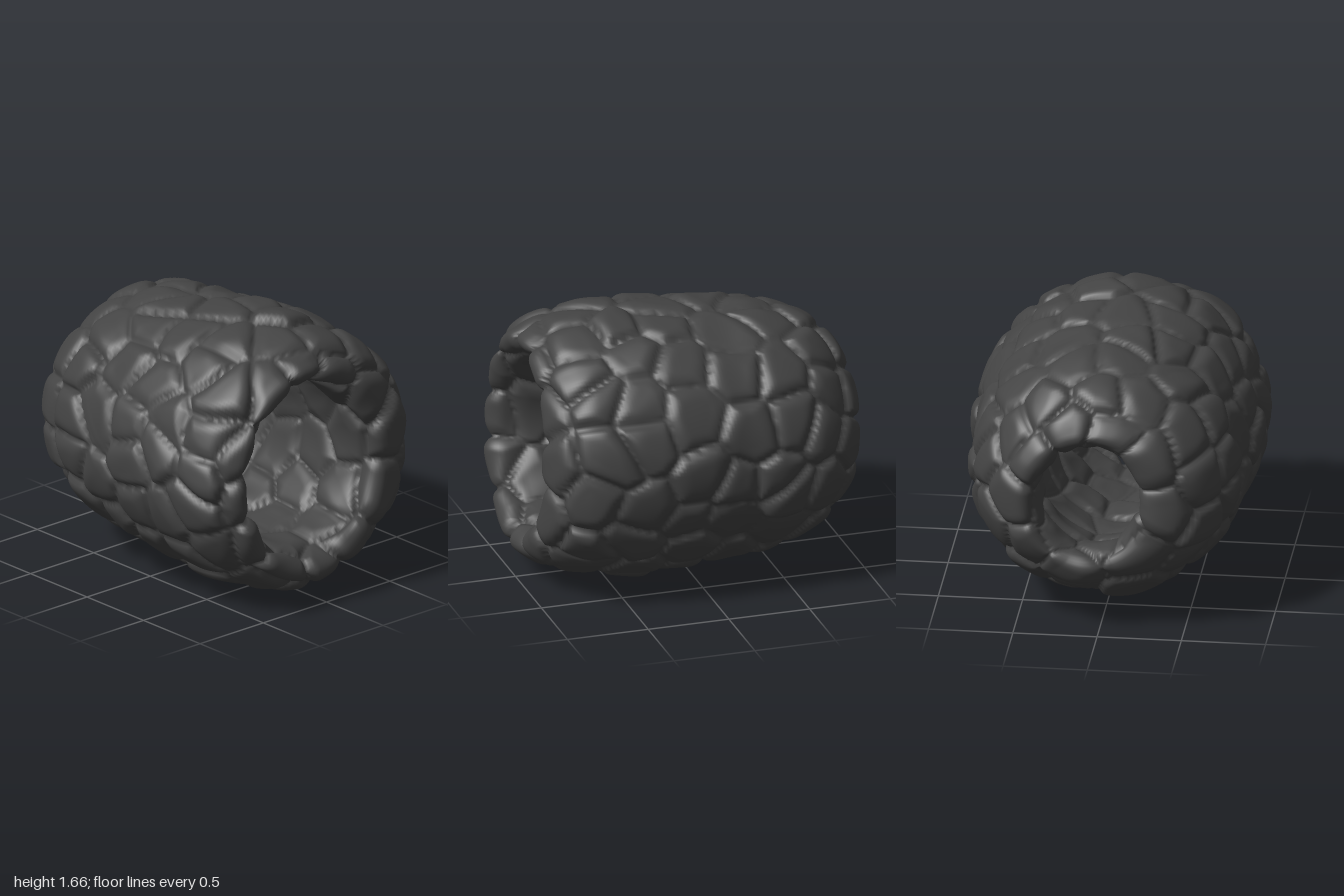
import * as THREE from 'three';

const { lerp, smoothstep } = THREE.MathUtils;
const rock = new THREE.MeshStandardMaterial({ color: 0x444444 });
rock.name = 'dark rock';

// Small seeded random generator
function seeded(seed) {
  return () => {
    seed = (seed * 1664525 + 1013904223) % 4294967296;
    return seed / 4294967296;
  };
}

// Closed wall section (radius, z): front rim, outside, back lip, inside
const section = new THREE.CatmullRomCurve3([
  [0.6, 0.965], [0.685, 0.9], [0.75, 0.79], [0.785, 0.6], [0.8, 0.35], [0.785, 0.0], [0.757, -0.2],
  [0.75, -0.4], [0.7, -0.6], [0.635, -0.75], [0.565, -0.85], [0.465, -0.94], [0.4, -0.965],
  [0.34, -0.93], [0.32, -0.83], [0.36, -0.65], [0.42, -0.35], [0.455, 0.05], [0.48, 0.45],
  [0.495, 0.78], [0.53, 0.92],
].map(([r, z]) => new THREE.Vector3(r, 0, z)), true, 'centripetal');

// 0 on the outside of the wall, 1 in the bore
function insideWeight(s) {
  const middle = 0.53 + 0.12 * s.z;
  return 1 - smoothstep(s.x, middle - 0.06, middle + 0.06);
}

// Point on the smooth wall; the bore drifts sideways, the front rim leans back at the top
function wallPoint(s, angle) {
  const inside = insideWeight(s);
  const cx = lerp(0.01 - 0.02 * s.z, -0.075 * s.z, inside);
  const lean = 0.03 * smoothstep(s.z, 0.5, 0.95);
  return new THREE.Vector3(
    cx + Math.cos(angle) * s.x * lerp(1.055, 0.95, inside),
    0.838 + Math.sin(angle) * s.x * lerp(1, 1.04, inside),
    s.z - lean * Math.sin(angle));
}

// Centres of the boulders, laid in jittered rings along the section
function boulders(rand) {
  const sites = [];
  const rows = 14;
  for (let i = 0; i < rows; i++) {
    const mid = section.getPointAt(i / rows);
    const count = Math.max(8, Math.round(2 * Math.PI * mid.x / 0.31));
    const offset = rand();
    for (let j = 0; j < count; j++) {
      const s = section.getPointAt((i / rows + (rand() - 0.5) * 0.03 + 1) % 1);
      const p = wallPoint(s, (j + offset + (rand() - 0.5) * 0.65) / count * Math.PI * 2);
      const tilt = new THREE.Vector3(rand() - 0.5, rand() - 0.5, rand() - 0.5).multiplyScalar(0.25);
      sites.push({ p, tilt, lift: (rand() - 0.5) * 0.03 });
    }
  }
  return sites;
}

function tunnelGeometry() {
  const nu = 230, nv = 250;
  const rings = section.getSpacedPoints(nu).slice(0, nu);
  const pos = [], index = [];
  rings.forEach((s, i) => {
    for (let j = 0; j < nv; j++) {
      pos.push(...wallPoint(s, j / nv * Math.PI * 2).toArray());
      const i2 = (i + 1) % nu, j2 = (j + 1) % nv;
      const a = i * nv + j, b = i2 * nv + j, c = i2 * nv + j2, d = i * nv + j2;
      index.push(a, b, d, b, c, d);
    }
  });
  const geo = new THREE.BufferGeometry();
  geo.setAttribute('position', new THREE.Float32BufferAttribute(pos, 3));
  geo.setIndex(index);
  geo.computeVertexNormals();

  // Swell each boulder outward and cut a crevice along its borders
  const sites = boulders(seeded(17));
  const P = geo.attributes.position, N = geo.attributes.normal;
  const p = new THREE.Vector3(), q = new THREE.Vector3(), n = new THREE.Vector3();
  for (let k = 0; k < P.count; k++) {
    p.fromBufferAttribute(P, k);
    n.fromBufferAttribute(N, k);
    // Gentle warp keeps the borders from running straight
    q.set(p.x + 0.025 * Math.sin(9 * p.y + 5 * p.z), p.y + 0.025 * Math.sin(8 * p.z + 6 * p.x),
      p.z + 0.025 * Math.sin(9 * p.x + 7 * p.y));
    let f1 = 9, f2 = 9, near = null;
    for (const site of sites) {
      const d = q.distanceTo(site.p);
      if (d < f1) { f2 = f1; f1 = d; near = site; } else if (d < f2) f2 = d;
    }
    const f = Math.min(1, (f2 - f1) / 0.17);
    const dome = Math.sqrt(1 - (1 - f) ** 2);
    // Deeper gaps on the front rim, softer ones in the bore
    const inside = insideWeight(rings[Math.floor(k / nv)]);
    const amp = lerp(0.052, 0.04, inside) + 0.03 * smoothstep(p.z, 0.8, 0.95);
    const tilt = q.clone().sub(near.p).dot(near.tilt);
    p.addScaledVector(n, amp * (dome - 0.7) + near.lift * Math.min(1, f * 3) + tilt * f);
    P.setXYZ(k, p.x, p.y, p.z);
  }
  geo.computeVertexNormals();
  return geo;
}

export function createModel() {
  const model = new THREE.Group();
  model.name = 'rockTunnel';

  const wall = new THREE.Mesh(tunnelGeometry(), rock);
  wall.name = 'boulderWall';
  model.add(wall);

  // Short stone points hanging from the roof of the bore
  for (const [x, tip, z] of [[-0.34, 1.13, 0.55], [-0.04, 1.28, 0.6], [0.04, 1.14, 0.0]]) {
    const spike = new THREE.Mesh(new THREE.ConeGeometry(0.07, 0.22, 7), rock);
    spike.name = 'hangingStone';
    spike.rotation.x = Math.PI;
    spike.position.set(x, tip + 0.11, z);
    model.add(spike);
  }
  return model;
}
